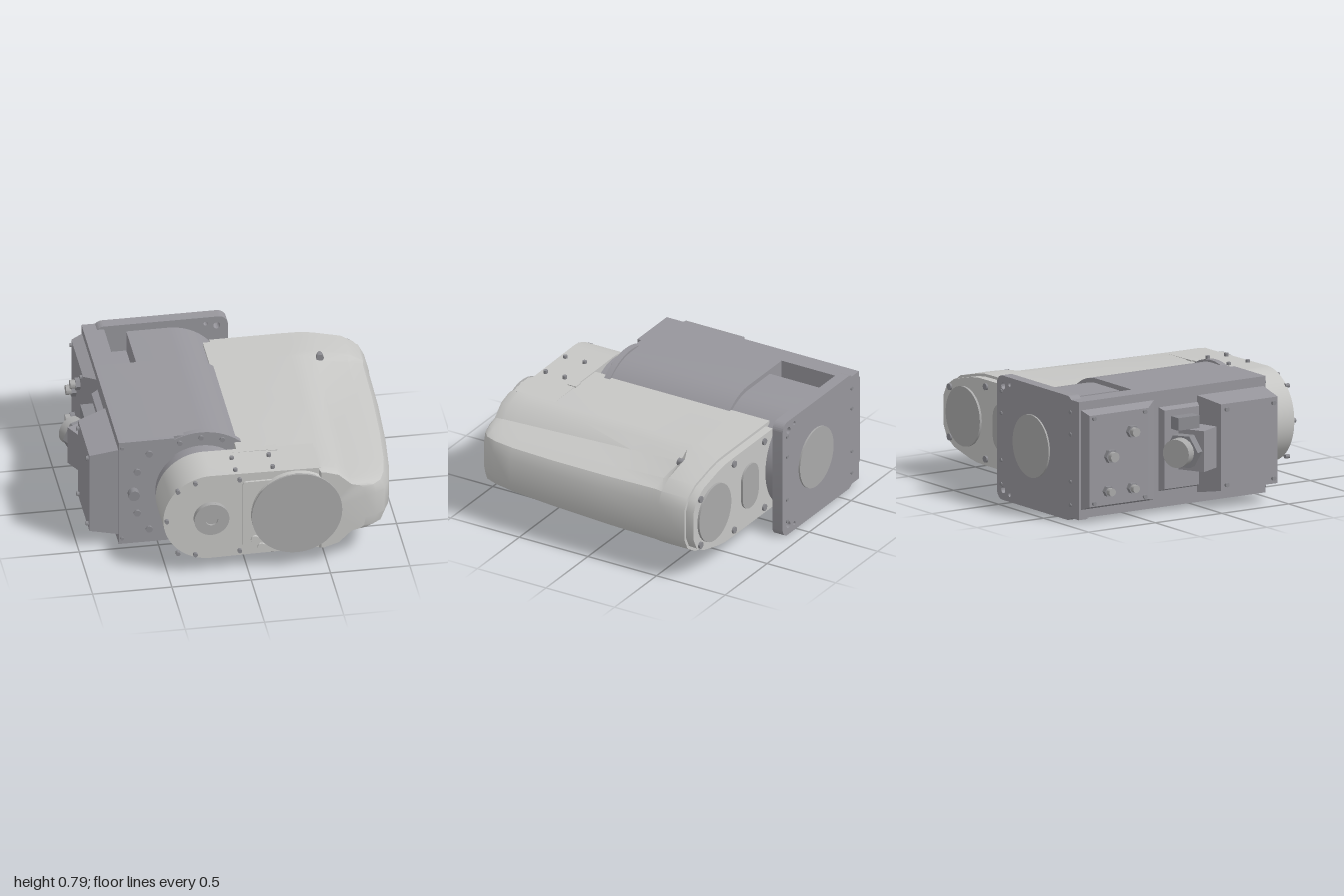
import * as THREE from 'three';
import { toCreasedNormals } from 'three/addons/utils/BufferGeometryUtils.js';

const CY = 0.4, AX = -0.23; // shared mid height and joint axis
const material = (name, color) => {
  const m = new THREE.MeshStandardMaterial({ color });
  m.name = name;
  return m;
};

export function createModel() {
  const model = new THREE.Group();
  model.name = 'robotArmJoint';
  const light = material('light grey shell', 0xc6c6c4);
  const dark = material('violet grey casting', 0x97969c);
  const cap = material('mid grey cover', 0xa9a9a9);
  const steel = material('screw grey', 0x8b8b90);

  const add = (name, geo, mat, crease = 0.5) => {
    const mesh = new THREE.Mesh(toCreasedNormals(geo, crease), mat);
    mesh.name = name;
    model.add(mesh);
    return mesh;
  };
  const box = (name, mat, x0, x1, y0, y1, z0, z1) => add(name,
    new THREE.BoxGeometry(x1 - x0, y1 - y0, z1 - z0)
      .translate((x0 + x1) / 2, (y0 + y1) / 2, (z0 + z1) / 2), mat);
  const slab = (name, mat, shape, z0, z1) => add(name,
    new THREE.ExtrudeGeometry(shape, { depth: z1 - z0, bevelEnabled: false, curveSegments: 32 })
      .translate(0, 0, z0), mat);
  const rod = (name, mat, a, b, r, sides = 12, r2 = r) => {
    const p = new THREE.Vector3(...a), q = new THREE.Vector3(...b);
    const geo = new THREE.CylinderGeometry(r2, r, p.distanceTo(q), sides);
    const mesh = add(name, geo, mat, 0.6);
    mesh.position.copy(p).add(q).multiplyScalar(0.5);
    mesh.quaternion.setFromUnitVectors(new THREE.Vector3(0, 1, 0), q.sub(p).normalize());
    return mesh;
  };
  const disc = (name, mat, x, y, z0, z1, r, sides = 48) => rod(name, mat, [x, y, z0], [x, y, z1], r, sides);
  const roundRect = (x0, x1, y0, y1, r) => {
    const s = new THREE.Shape();
    s.absarc(x1 - r, y1 - r, r, 0, Math.PI / 2);
    s.absarc(x0 + r, y1 - r, r, Math.PI / 2, Math.PI);
    s.absarc(x0 + r, y0 + r, r, Math.PI, Math.PI * 1.5);
    s.absarc(x1 - r, y0 + r, r, Math.PI * 1.5, Math.PI * 2);
    return s;
  };
  // Box on the -x side, narrowing outwards
  const frustum = (name, mat, xIn, xOut, y0, y1, z0, z1, dy, dz0, dz1) => {
    const geo = new THREE.BoxGeometry(1, 1, 1), p = geo.attributes.position;
    for (let i = 0; i < p.count; i++) {
      const out = p.getX(i) < 0 ? 1 : 0, up = p.getY(i) > 0, front = p.getZ(i) > 0;
      p.setXYZ(i, out ? xOut : xIn, up ? y1 - dy * out : y0 + dy * out,
        front ? z1 - dz1 * out : z0 + dz0 * out);
    }
    return add(name, geo, mat);
  };

  // Housing: flat on the left, round on the right
  const full = new THREE.Shape();
  full.moveTo(-0.75, 0.03);
  full.lineTo(AX, 0.03);
  full.absarc(AX, CY, 0.37, -Math.PI / 2, Math.PI / 2);
  full.lineTo(-0.75, 0.77);
  slab('housingFront', dark, full, -0.42, 0.47);
  box('housingFrontFace', dark, -0.75, -0.4, 0.03, 0.77, 0.47, 0.497);

  // Rear of the housing with a deep slot and shallow pocket above and below
  const rear = new THREE.Shape();
  rear.moveTo(-0.75, 0.03);
  rear.lineTo(-0.62, 0.03);
  rear.lineTo(-0.62, 0.2);
  rear.lineTo(-0.48, 0.2);
  rear.lineTo(-0.48, 0.06);
  rear.lineTo(-0.2, 0.06);
  rear.absarc(-0.22, CY, 0.34, -Math.PI / 2, Math.PI / 2);
  rear.lineTo(-0.48, 0.74);
  rear.lineTo(-0.48, 0.6);
  rear.lineTo(-0.62, 0.6);
  rear.lineTo(-0.62, 0.77);
  rear.lineTo(-0.75, 0.77);
  slab('housingRear', dark, rear, -0.85, -0.42);
  box('pocketCover', steel, -0.45, -0.12, 0.045, 0.062, -0.8, -0.5);
  for (const x of [-0.41, -0.16]) for (const z of [-0.75, -0.55])
    rod('pocketScrew', steel, [x, 0.033, z], [x, 0.05, z], 0.013);

  // Rear mounting flange
  const flange = roundRect(-0.68, 0.16, 0, 0.79, 0.06);
  for (const [x, dy] of [[0.02, 0.35], [0.09, 0.33]]) for (const s of [1, -1]) {
    const hole = new THREE.Path();
    hole.absarc(x, CY - 0.005 + s * dy, x > 0.05 ? 0.022 : 0.013, 0, Math.PI * 2, true);
    flange.holes.push(hole);
  }
  slab('rearFlange', dark, flange, -0.905, -0.83);
  box('rearFlangeSide', dark, -0.75, -0.64, 0.02, 0.77, -0.905, -0.84);
  disc('rearCover', cap, AX, CY, -0.916, -0.9, 0.2);
  for (const y of [0.1, 0.25, 0.55, 0.69]) for (const x of [-0.66, 0.11])
    disc('flangeScrew', steel, x, y, -0.912, -0.9, 0.012, 10);

  // Joint ring with its bolts
  disc('jointRing', dark, AX, CY, 0.44, 0.48, 0.385, 64);
  disc('jointNeck', dark, AX, CY, 0.47, 0.58, 0.29, 64);
  for (let i = 0; i < 16; i++) {
    const a = i * Math.PI / 8;
    disc('ringBolt', steel, AX + 0.35 * Math.cos(a), CY + 0.35 * Math.sin(a), 0.47, 0.495, 0.016, 10);
  }
  for (const [x, dy] of [[-0.56, 0.275], [-0.635, 0.15]]) for (const s of [1, -1])
    disc('faceBolt', steel, x, CY + s * dy, 0.49, 0.512, 0.022, 12);
  disc('stopPin', steel, -0.66, CY, 0.49, 0.545, 0.035, 20);
  for (const y of [0.07, 0.73]) disc('cornerScrew', steel, -0.73, y, 0.49, 0.505, 0.012, 10);

  // Side terminal box and connector panel
  frustum('terminalBox', dark, -0.74, -0.93, 0.09, 0.71, -0.02, 0.48, 0.035, 0.06, 0.015);
  for (const y of [0.16, 0.64]) for (const z of [0.08, 0.43])
    rod('terminalScrew', steel, [-0.92, y, z], [-0.947, y, z], 0.014);
  frustum('connectorPanel', dark, -0.74, -0.82, 0.08, 0.72, -0.89, -0.33, 0.03, 0.02, 0.1);
  for (const y of [0.13, 0.67]) for (const z of [-0.84, -0.46])
    rod('panelScrew', steel, [-0.81, y, z], [-0.835, y, z], 0.013);
  for (const [y, z, r] of [[0.42, -0.72, 0.045], [0.56, -0.56, 0.04], [0.2, -0.74, 0.035], [0.2, -0.56, 0.035]]) {
    rod('portBase', steel, [-0.81, y, z], [-0.85, y, z], r, 6);
    rod('portCap', cap, [-0.84, y, z], [-0.882, y, z], r * 0.7, 20);
  }

  // Angled plug between the two boxes
  frustum('plugBase', dark, -0.74, -0.79, 0.13, 0.67, -0.31, -0.01, 0.02, 0.02, 0.02);
  const body = box('plugBody', dark, -0.1, 0.08, -0.13, 0.13, -0.09, 0.09);
  body.position.set(-0.84, CY, -0.08);
  body.rotation.y = -1.1 + Math.PI / 2;
  rod('plugCollar', steel, [-0.84, CY, -0.14], [-0.89, CY, -0.23], 0.115, 6);
  rod('plugNut', cap, [-0.87, CY, -0.2], [-0.925, CY, -0.295], 0.09, 24);
  box('plugLatch', steel, -0.87, -0.77, 0.53, 0.61, -0.24, -0.08);

  // Arm shell lofted along z; each station holds z, left edge, right edge, blend to full section, scale
  const shelf = (k) => [0.26 + 0.025 * k, 0.18 + 0.055 * k, 0.165 + 0.045 * k, 0.145 + 0.03 * k, 0.08 + 0.02 * k];
  const section = (x0, xr, h, k, full2) => {
    const x3 = Math.min(full2 ? 0.68 : 0.65, xr - 0.06);
    const [a, b, c, d, e] = h;
    const half = [[x0, 0.29], [0.48, 0.29], [full2 ? 0.6 : 0.57, a], [x3, b],
      [x3 + (xr - x3) * 0.6, c], [x3 + (xr - x3) * 0.88, d], [xr, e]].map(([x, y]) => [x, y * k]);
    return [...half, ...half.map(([x, y]) => [x, -y]).reverse()];
  };
  const fullH = [0.288, 0.275, 0.23, 0.175, 0.1];
  const loft = (name, mat, rings) => {
    const n = rings[0].pts.length, pos = [], idx = [];
    for (const { z, pts } of rings) for (const [x, y] of pts) pos.push(x, CY + y, z);
    for (let i = 0; i < rings.length - 1; i++) for (let j = 0; j < n; j++) {
      const a = i * n + j, b = i * n + (j + 1) % n;
      idx.push(a, a + n, b, b, a + n, b + n);
    }
    const last = (rings.length - 1) * n, c = rings.length * n;
    pos.push(0.5, CY, rings[0].z, 0.5, CY, rings[rings.length - 1].z);
    for (let j = 0; j < n; j++) {
      const k = (j + 1) % n;
      idx.push(c, j, k, c + 1, last + k, last + j);
    }
    const geo = new THREE.BufferGeometry();
    geo.setAttribute('position', new THREE.Float32BufferAttribute(pos, 3));
    geo.setIndex(idx);
    return add(name, geo, mat, 0.55);
  };
  const rings = [-0.7, -0.51].map((z) => ({ z, pts: section(-0.02, 0.995, fullH, 1, true) }));
  const stations = [[-0.46, -0.02, 0.99], [-0.1, -0.02, 0.985], [0.3, -0.02, 0.965], [0.61, -0.02, 0.935],
    [0.611, 0.45, 0.935], [0.75, 0.45, 0.905], [0.83, 0.45, 0.87], [0.875, 0.45, 0.81, 0.985], [0.895, 0.46, 0.74, 0.95]];
  for (const [z, x0, xr, k = 1] of stations)
    rings.push({ z, pts: section(x0, xr, shelf((0.9 - z) / 1.36), k, false) });
  loft('armShell', light, rings);
  loft('armEndPlate', light, [-0.755, -0.69].map((z) => ({ z, pts: section(0.03, 0.975, fullH, 0.94, true) })));
  for (const s of [1, -1]) disc('armShellScrew', steel, 0.68, CY + s * 0.25, -0.52, -0.465, 0.024, 16);

  // Covers and screws on the arm's rear end
  disc('armRearCover', cap, 0.74, CY, -0.77, -0.75, 0.19);
  slab('armRearOvalCover', cap, roundRect(0.22, 0.41, 0.25, 0.55, 0.09), -0.768, -0.75);
  for (const x of [0.14, 0.5, 0.9]) for (const s of [1, -1])
    disc('armRearScrew', steel, x, CY + s * (x > 0.8 ? 0.16 : 0.23), -0.768, -0.75, 0.022, 12);

  // Wrist at the front: round left end, straight towards the arm
  const wrist = new THREE.Shape();
  wrist.moveTo(0.46, 0.69);
  wrist.lineTo(AX, 0.7);
  wrist.absarc(AX, CY, 0.3, Math.PI / 2, Math.PI * 1.5);
  wrist.lineTo(0.46, 0.11);
  slab('wristHousing', light, wrist, 0.57, 0.86);
  disc('wristHub', cap, AX, CY, 0.85, 0.88, 0.11);
  const hub = new THREE.Shape().absarc(AX, CY, 0.11, 0, Math.PI * 2);
  hub.holes.push(new THREE.Path().absarc(AX, CY, 0.04, 0, Math.PI * 2, true));
  slab('wristHubRim', cap, hub, 0.88, 0.895);
  slab('motorBlock', light, roundRect(-0.03, 0.46, 0.16, 0.64, 0.02), 0.8, 0.875);
  disc('motorHousing', light, 0.305, CY, 0.62, 0.895, 0.285, 64);
  disc('motorCover', cap, 0.305, CY, 0.89, 0.907, 0.285, 64);
  for (const [x, y] of [[-0.51, 0.4], [-0.44, 0.61], [-0.44, 0.16], [-0.33, 0.66], [-0.33, 0.14], [-0.05, 0.66], [-0.05, 0.14]])
    disc('wristBolt', steel, x, y, 0.85, 0.88, 0.014, 10);
  for (const [x, y, r] of [[0.045, 0.22, 0.027], [0.085, 0.165, 0.025]])
    disc('motorPlug', light, x, y, 0.85, 0.89, r, 20);

  // Clamp strips and screws above and below the wrist
  for (const s of [1, -1]) {
    const y = (d) => CY + s * d;
    const span = [y(0.27), y(0.298)].sort();
    box('clampStrip', light, -0.08, 0.23, ...span, 0.57, 0.61);
    box('clampTab', light, 0.17, 0.23, ...span, 0.56, 0.62);
    for (const x of [-0.07, 0.165]) for (const z of [0.68, 0.82])
      rod('clampScrew', steel, [x, y(0.28), z], [x, y(0.315), z], 0.014);
  }
  return model;
}
